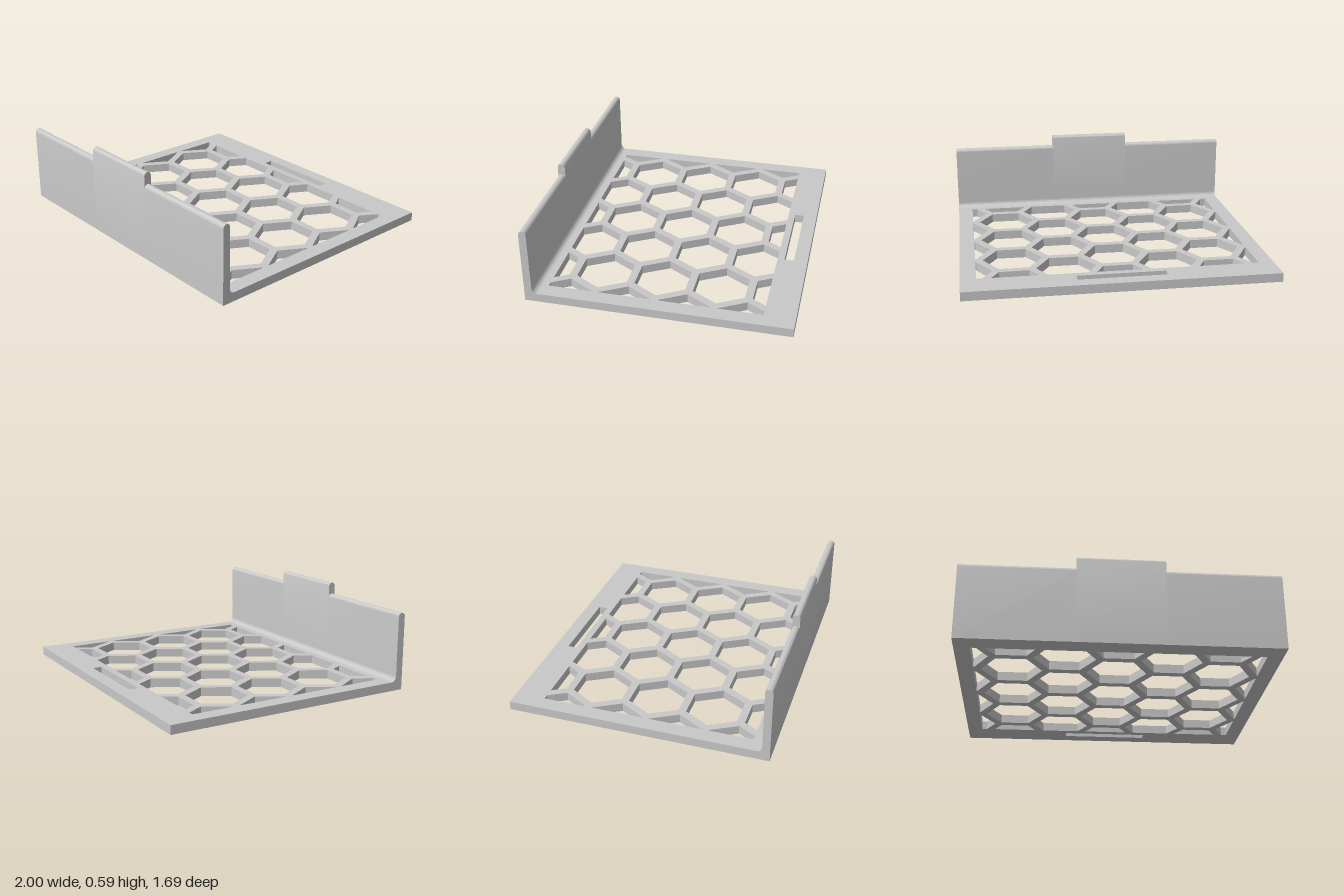
import * as THREE from 'three';
import { toCreasedNormals } from 'three/addons/utils/BufferGeometryUtils.js';

const PLATE = 0.058;                                   // plate thickness
const WIN = { x0: -0.9, x1: 0.9, z0: -0.65, z1: 0.722 }; // honeycomb area
const FRONT = 0.847, INNER = 0.798, FILLET = 0.035;

// Keep the part of a polygon where sign * (p[axis] - limit) <= 0
function clip(points, axis, limit, sign) {
  const out = [];
  points.forEach((a, i) => {
    const b = points[(i + 1) % points.length];
    const da = sign * (a[axis] - limit), db = sign * (b[axis] - limit);
    if (da <= 0) out.push(a);
    if (da * db < 0) out.push(a.clone().lerp(b, da / (da - db)));
  });
  return out;
}

// Hexagonal opening cut off at the honeycomb border
function hexagon(cx, cz, radius) {
  let p = [];
  for (let i = 0; i < 6; i++) {
    const a = i * Math.PI / 3;
    p.push(new THREE.Vector2(cx + radius * Math.cos(a), cz + radius * Math.sin(a)));
  }
  p = clip(p, 'x', WIN.x0, -1);
  p = clip(p, 'x', WIN.x1, 1);
  p = clip(p, 'y', WIN.z0, -1);
  return clip(p, 'y', WIN.z1, 1);
}

function rectangle(x0, x1, z0, z1) {
  return [[x0, z0], [x1, z0], [x1, z1], [x0, z1]].map(([x, z]) => new THREE.Vector2(x, z));
}

// Flat plate with honeycomb openings and a slot near the back
function plateGeometry() {
  // Mirror z into the shape plane, keeping the outline counter-clockwise
  const flip = pts => pts.map(p => new THREE.Vector2(p.x, -p.y)).reverse();
  const shape = new THREE.Shape(flip(rectangle(-1, 1, -FRONT, INNER - FILLET)));
  const addHole = pts => shape.holes.push(new THREE.Path(flip(pts)));

  addHole(rectangle(-0.285, 0.285, -0.757, -0.695));
  const pitch = 0.381, apothem = 0.1655, middle = 0.036;
  for (let col = -3; col <= 3; col++) {
    const shift = col % 2 ? 0.5 : 0;
    for (let row = -3; row <= 3; row++) {
      const pts = hexagon(col * pitch * Math.sqrt(3) / 2, middle + (row + shift) * pitch, apothem * 2 / Math.sqrt(3));
      if (pts.length > 2) addHole(pts);
    }
  }
  return new THREE.ExtrudeGeometry(shape, { depth: PLATE, bevelEnabled: false }).rotateX(-Math.PI / 2);
}

// Upright wall section with rounded top and a fillet at the foot
function wallGeometry(height, width) {
  const r = (FRONT - INNER) / 2;
  const s = new THREE.Shape();
  s.moveTo(INNER - FILLET, 0);
  s.lineTo(FRONT, 0);
  s.lineTo(FRONT, height - r);
  s.absarc(FRONT - r, height - r, r, 0, Math.PI, false);
  s.lineTo(INNER, PLATE + FILLET);
  s.absarc(INNER - FILLET, PLATE + FILLET, FILLET, 0, -Math.PI / 2, true);
  s.lineTo(INNER - FILLET, 0);
  const g = new THREE.ExtrudeGeometry(s, { depth: width, bevelEnabled: false, curveSegments: 16 });
  return toCreasedNormals(g.rotateY(-Math.PI / 2), 0.6);
}

export function createModel() {
  const group = new THREE.Group();
  group.name = 'honeycombShelf';
  const grey = new THREE.MeshStandardMaterial({ color: 0xc8c8c8 });
  grey.name = 'grey';

  const add = (name, geometry, x = 0) => {
    const mesh = new THREE.Mesh(geometry, grey);
    mesh.name = name;
    mesh.position.x = x;
    group.add(mesh);
  };

  add('honeycombPlate', plateGeometry());
  // Front wall: low, raised tab, low
  [['rightWall', -1, -0.277, 0.51], ['raisedTab', -0.277, 0.277, 0.587], ['leftWall', 0.277, 1, 0.51]]
    .forEach(([name, x0, x1, height]) => add(name, wallGeometry(height, x1 - x0), x1));
  return group;
}
